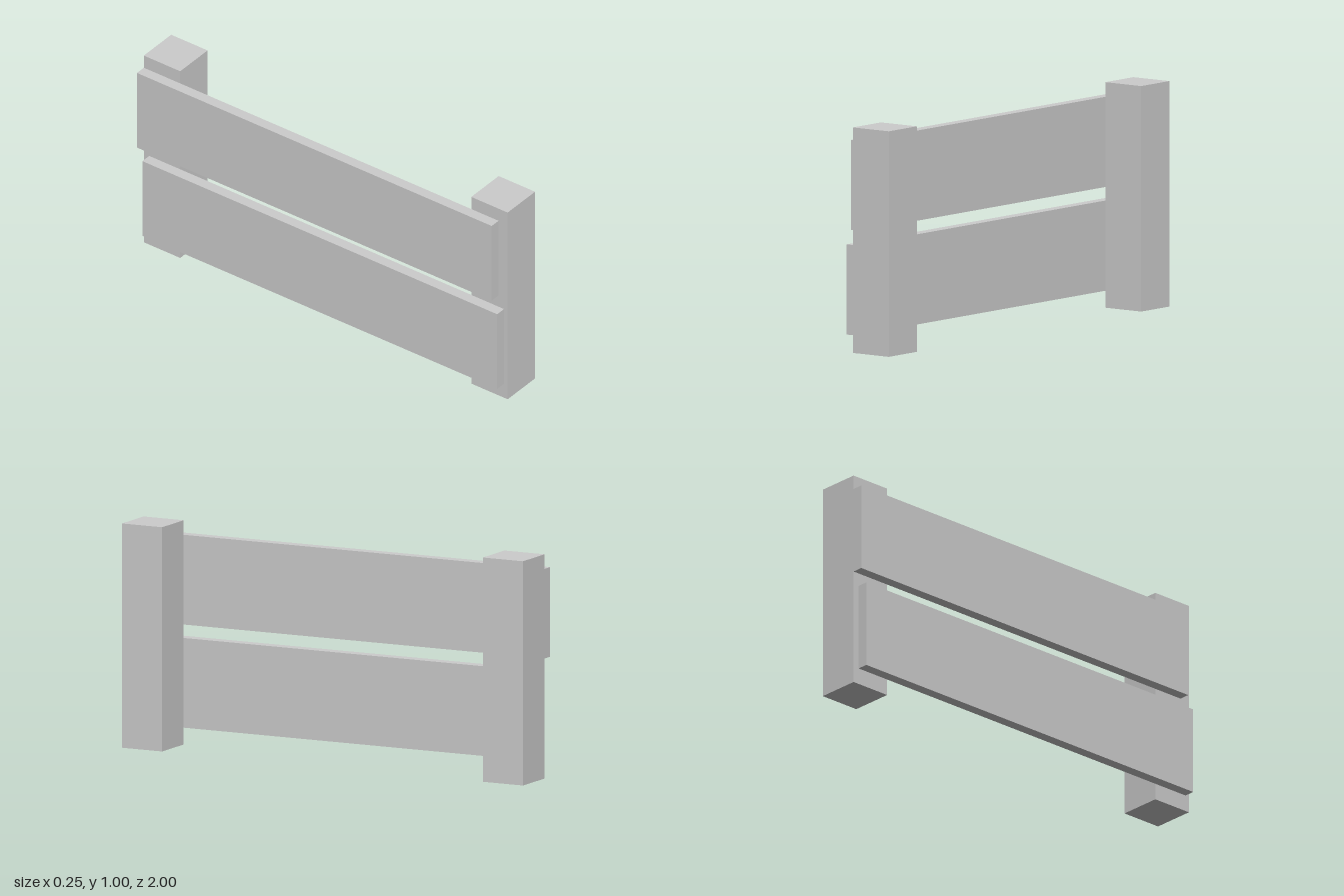
import * as THREE from 'three';
import { ConvexGeometry } from 'three/addons/geometries/ConvexGeometry.js';

const OUTER_X = -0.125, INNER_X = -0.075;

// A corner shared by neighbouring pieces: [z, y] on the outer face and on the inner face
const corner = (z, y, zIn = z, yIn = y) => [
  new THREE.Vector3(OUTER_X, y, z),
  new THREE.Vector3(INNER_X, yIn, zIn),
];

// A plank made of snug convex pieces that meet along its cracks
function makePlank(name, pieces, material) {
  const plank = new THREE.Group();
  plank.name = name;
  pieces.forEach((corners, i) => {
    const mesh = new THREE.Mesh(new ConvexGeometry(corners.flat()), material);
    mesh.name = `${name}Piece${i + 1}`;
    plank.add(mesh);
  });
  return plank;
}

function upperPlank(material) {
  const top = 0.935, bottom = 0.535, back = -1, front = 0.95;
  // crack across the middle
  const midTop = corner(-0.17, top, -0.166, top);
  const midBottom = corner(-0.21, bottom, -0.219, bottom);
  // crack that branches near the front end
  const cutTop = corner(0.69, top, 0.705, top);
  const fork = corner(0.93, 0.63, 0.93, 0.62);
  const cutEnd = corner(front, 0.643, front, 0.635);
  const cutBottom = corner(0.885, bottom);
  return makePlank('upperPlank', [
    [corner(back, bottom), corner(back, top), midTop, midBottom],
    [midBottom, midTop, cutTop, fork, cutBottom],
    [cutTop, corner(front, top), cutEnd, fork],
    [fork, cutEnd, corner(front, bottom), cutBottom],
  ], material);
}

function lowerPlank(material) {
  const top = 0.475, bottom = 0.075, back = -0.97, front = 0.98;
  // middle crack, with a small wedge that narrows to an edge on the inner face
  const wedgeBackTop = corner(-0.26, top, -0.15, top);
  const wedgeFrontTop = corner(-0.147, top, -0.15, top);
  const wedgeBackLow = corner(-0.224, 0.41, -0.171, 0.38);
  const wedgeFrontLow = corner(-0.17, 0.4, -0.171, 0.38);
  const splitBack = corner(-0.63, bottom, -0.583, bottom);
  const splitFront = corner(-0.07, bottom, -0.075, bottom);
  // front crack with three branches
  const cutTop = corner(0.46, top, 0.406, top);
  const fork = corner(0.63, 0.22, 0.577, 0.22);
  const cutBottom = corner(0.62, bottom, 0.561, bottom);
  const cutEnd = corner(front, 0.284, front, 0.293);
  return makePlank('lowerPlank', [
    [corner(back, bottom), corner(back, top), wedgeBackTop, wedgeBackLow, splitBack],
    [wedgeBackTop, wedgeFrontTop, wedgeFrontLow, wedgeBackLow],
    [wedgeBackLow, wedgeFrontLow, splitFront, splitBack],
    [wedgeFrontTop, cutTop, fork, cutBottom, splitFront, wedgeFrontLow],
    [cutTop, corner(front, top), cutEnd, fork],
    [fork, cutEnd, corner(front, bottom), cutBottom],
  ], material);
}

export function createModel() {
  const model = new THREE.Group();
  model.name = 'fence';
  const material = new THREE.MeshStandardMaterial({ color: 0xcccccc, flatShading: true });

  // square posts at both ends
  const postGeometry = new THREE.BoxGeometry(0.2, 1, 0.2);
  for (const side of [1, -1]) {
    const post = new THREE.Mesh(postGeometry, material);
    post.name = side > 0 ? 'frontPost' : 'backPost';
    post.position.set(0.025, 0.5, 0.9 * side);
    model.add(post);
  }

  // cracked planks fixed to one side of the posts
  model.add(upperPlank(material), lowerPlank(material));
  return model;
}
